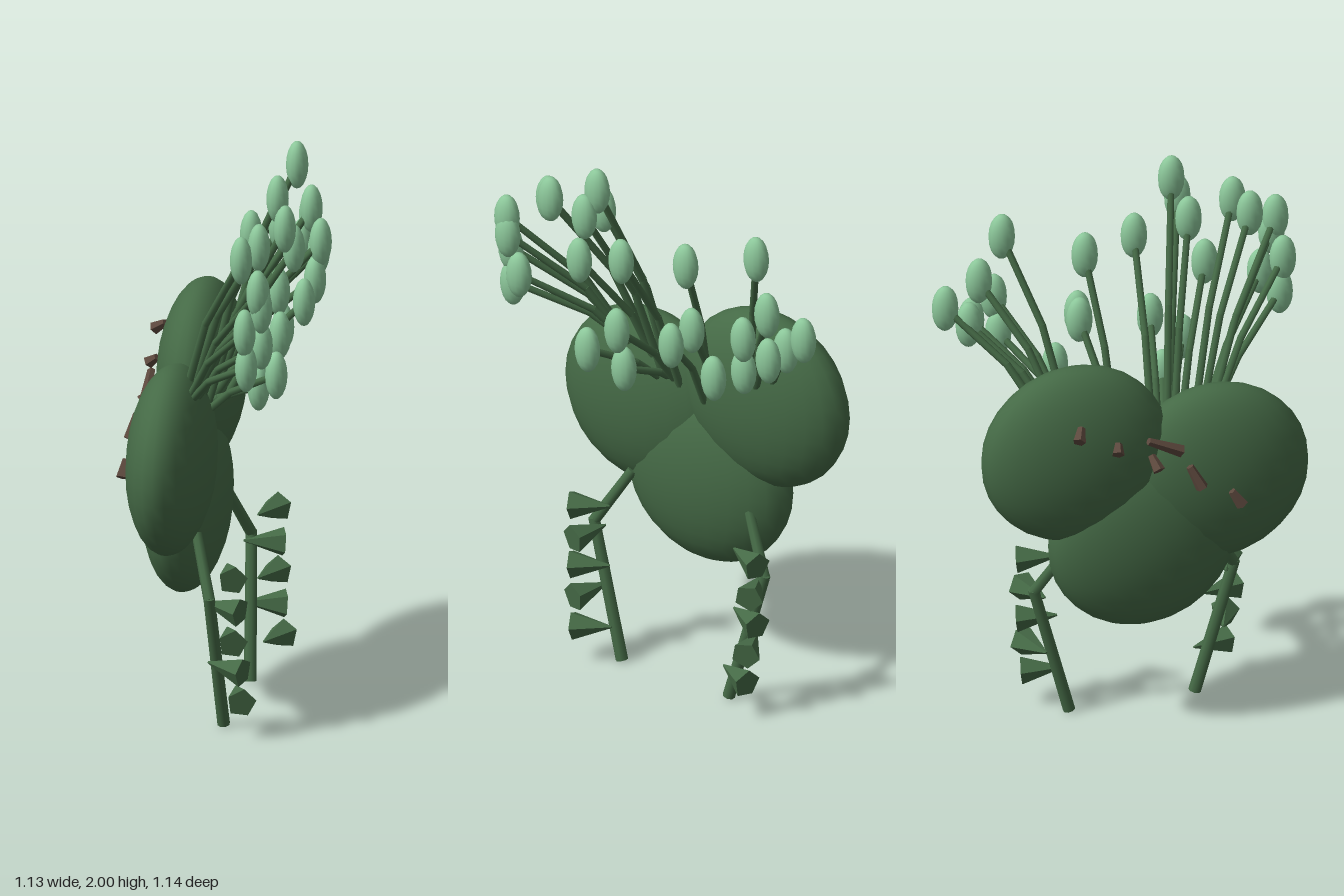
import * as THREE from 'three';

const green = new THREE.MeshStandardMaterial({ color: 0x456a46 });
green.name = 'plant green';
const mint = new THREE.MeshStandardMaterial({ color: 0x8cc79a });
mint.name = 'pale bud green';
const brown = new THREE.MeshStandardMaterial({ color: 0x5c483d });
brown.name = 'bark brown';

const V = (p) => new THREE.Vector3(...p);
const UP = new THREE.Vector3(0, 1, 0);

// Tapered rod running from point a to point b
function rod(name, a, b, ra, rb, sides, material, flat = false) {
  const dir = b.clone().sub(a);
  let geo = new THREE.CylinderGeometry(rb, ra, dir.length(), sides);
  if (flat) {
    geo = geo.toNonIndexed();
    geo.computeVertexNormals();
  }
  const mesh = new THREE.Mesh(geo, material);
  mesh.name = name;
  mesh.position.copy(a).add(b).multiplyScalar(0.5);
  mesh.quaternion.setFromUnitVectors(UP, dir.normalize());
  return mesh;
}

// Ellipsoid turned to lie in the diagonal plane of the body
function ellipsoid(name, center, size, w, h, material) {
  const mesh = new THREE.Mesh(new THREE.SphereGeometry(1, w, h), material);
  mesh.name = name;
  mesh.position.set(...center);
  mesh.scale.set(...size);
  mesh.rotation.y = Math.PI / 4;
  return mesh;
}

// One tuft of kinked stems ending in buds; roots spread around the tuft's
// root in proportion to how the buds spread around their middle
function tuft(name, root, buds) {
  const group = new THREE.Group();
  group.name = name;
  const tips = buds.map(V);
  const middle = new THREE.Vector3();
  tips.forEach((t) => middle.addScaledVector(t, 1 / tips.length));
  for (const tip of tips) {
    const start = tip.clone().sub(middle).multiply(V([0.4, 0.03, 0.4])).add(V(root));
    const kink = start.clone().lerp(tip, 0.38);
    kink.y = THREE.MathUtils.lerp(start.y, tip.y, 0.52);
    const overlap = kink.clone().lerp(start, 0.02);
    group.add(
      rod('lowerStem', start, kink, 0.014, 0.013, 8, green),
      rod('upperStem', overlap, tip, 0.013, 0.012, 8, green),
      ellipsoid('bud', tip, [0.047, 0.085, 0.038], 14, 10, mint),
    );
  }
  return group;
}

export function createModel() {
  const model = new THREE.Group();
  model.name = 'plantCreature';

  // Body: three flattened pads in one diagonal plane
  const body = new THREE.Group();
  body.name = 'body';
  const pad = [0.335, 0.33, 0.147];
  body.add(
    ellipsoid('rightPad', [-0.305, 0.96, 0.035], pad, 24, 16, green),
    ellipsoid('leftPad', [0.05, 1.105, -0.315], pad, 24, 16, green),
    ellipsoid('lowerPad', [-0.12, 0.74, -0.147], pad, 24, 16, green),
  );
  model.add(body);

  // Crown: four tufts along the upper front of the pads
  const crown = new THREE.Group();
  crown.name = 'crown';
  crown.add(
    tuft('rightTuft', [-0.26, 1.17, 0.075], [
      [-0.185, 1.81, 0.395], [-0.255, 1.775, 0.39], [-0.28, 1.7, 0.53], [-0.265, 1.64, 0.53],
      [-0.32, 1.56, 0.51], [-0.31, 1.43, 0.505], [-0.24, 1.495, 0.495],
    ]),
    tuft('middleTuft', [-0.15, 1.09, -0.02], [
      [-0.02, 1.915, 0.26], [-0.02, 1.82, 0.305], [-0.105, 1.795, 0.225], [-0.125, 1.595, 0.305],
      [0.09, 1.695, 0.195], [0.03, 1.395, 0.2], [-0.045, 1.29, 0.29], [-0.035, 1.21, 0.165],
    ]),
    tuft('forkTuft', [0, 1.085, -0.135], [
      [0.17, 1.7, -0.015], [0.18, 1.455, -0.035], [0.23, 1.43, 0.045], [0.24, 1.295, -0.1],
    ]),
    tuft('leftTuft', [0.145, 1.2, -0.26], [
      [0.38, 1.82, -0.225], [0.455, 1.64, -0.25], [0.525, 1.57, -0.365], [0.44, 1.545, -0.17],
      [0.485, 1.48, -0.25], [0.46, 1.5, -0.315], [0.42, 1.41, -0.175],
    ]),
  );
  model.add(crown);

  // Legs, mirrored across the diagonal, with a row of leaves on the outside
  for (const side of ['left', 'right']) {
    const leg = new THREE.Group();
    leg.name = side + 'Leg';
    const P = (x, y, z) => (side === 'left' ? V([x, y, z]) : V([z, y, x]));
    const knee = [0.228, 0.5, -0.278], foot = [0.15, 0.01, -0.168];
    leg.add(
      rod('thigh', P(0.1, 0.7, -0.245), P(...knee), 0.018, 0.02, 8, green),
      rod('shin', P(0.229, 0.51, -0.28), P(...foot), 0.02, 0.022, 8, green),
    );
    [0.14, 0.25, 0.36, 0.47, 0.59].forEach((y, i) => {
      const z = THREE.MathUtils.lerp(foot[2], knee[2], Math.min(y / 0.5, 0.6)) + 0.01;
      const s = i % 2 ? 1 : -1;
      leg.add(rod('leaf', P(0.19, y + 0.012, z - s * 0.045), P(0.315, y, z + s * 0.015),
        0.004, 0.052, 5, green, true));
    });
    model.add(leg);
  }

  // Woody stubs across the back, each from narrow end to wide end
  const back = new THREE.Group();
  back.name = 'backStubs';
  const stubs = [
    [[-0.03, 1.27, -0.42], [-0.045, 1.24, -0.465]],
    [[-0.125, 1.19, -0.33], [-0.14, 1.165, -0.36]],
    [[-0.2, 1.115, -0.23], [-0.24, 1.075, -0.25]],
    [[-0.2, 1.18, -0.25], [-0.28, 1.12, -0.16]],
    [[-0.315, 1.07, -0.165], [-0.355, 0.99, -0.15]],
    [[-0.425, 0.955, -0.065], [-0.455, 0.9, -0.045]],
  ];
  for (const [a, b] of stubs) back.add(rod('stub', V(a), V(b), 0.014, 0.023, 5, brown, true));
  model.add(back);

  return model;
}
